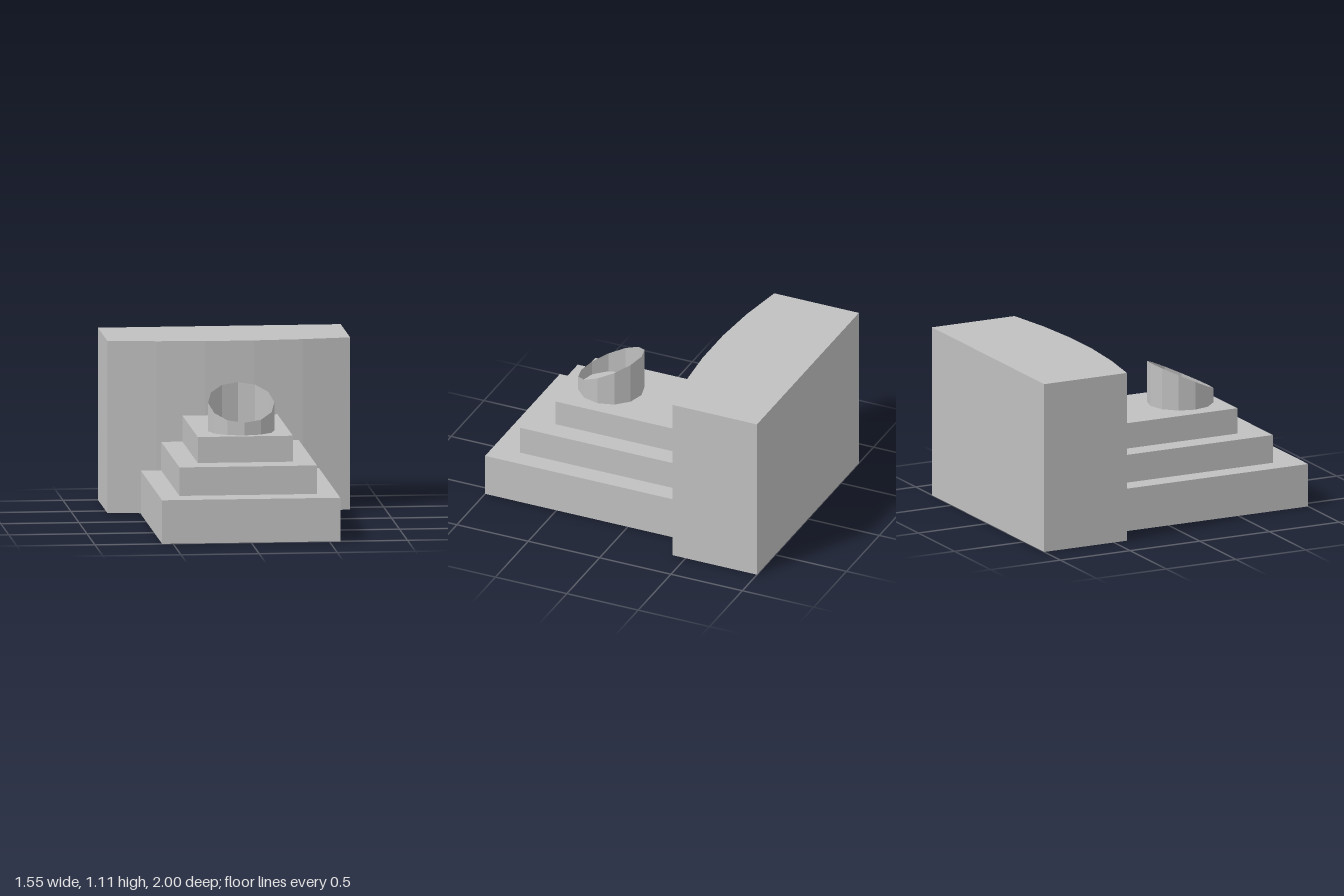
import * as THREE from 'three';

const stone = new THREE.MeshStandardMaterial({ color: 0xc0c0c0, side: THREE.DoubleSide });
stone.name = 'pale grey';

function part(name, geometry) {
  const mesh = new THREE.Mesh(geometry, stone);
  mesh.name = name;
  return mesh;
}

// Flat-sided wall around a closed outline of [x, z] corners (counter-clockwise from above)
function wallGeometry(outline, bottom, topAt) {
  const positions = [];
  outline.forEach(([ax, az], i) => {
    const [bx, bz] = outline[(i + 1) % outline.length];
    const a = [ax, bottom, az], b = [bx, bottom, bz];
    const c = [bx, topAt(bz), bz], d = [ax, topAt(az), az];
    positions.push(...a, ...b, ...c, ...a, ...c, ...d);
  });
  const geometry = new THREE.BufferGeometry();
  geometry.setAttribute('position', new THREE.Float32BufferAttribute(positions, 3));
  geometry.computeVertexNormals();
  return geometry;
}

// Block with walls and a roof, open underneath
function openBlock(name, outline, bottom, top) {
  const group = new THREE.Group();
  group.name = name;
  const shape = new THREE.Shape(outline.map(([x, z]) => new THREE.Vector2(x, -z)));
  const roof = new THREE.ShapeGeometry(shape).rotateX(-Math.PI / 2).translate(0, top, 0);
  group.add(part(name + 'Walls', wallGeometry(outline, bottom, () => top)), part(name + 'Roof', roof));
  return group;
}

export function createModel() {
  const model = new THREE.Group();
  model.name = 'steppedBuilding';
  const joinZ = -0.333;

  // Rear hall with a gently bowed front of five facets
  const hall = [[0.777, -1], [-0.777, -1]];
  for (let i = 0; i <= 5; i++) {
    const x = -0.777 + (1.554 * i) / 5;
    hall.push([x, -0.33 - 0.1276 * x * x]);
  }
  model.add(openBlock('rearHall', hall, 0, 1.107));

  // Three stepped tiers: half width, front z, bottom, top
  const tiers = [
    ['lowerTier', 0.57, 1, 0, 0.28],
    ['middleTier', 0.44, 0.815, 0.28, 0.463],
    ['upperTier', 0.304, 0.63, 0.463, 0.63],
  ];
  for (const [name, w, front, bottom, top] of tiers) {
    model.add(openBlock(name, [[-w, front], [w, front], [w, joinZ], [-w, joinZ]], bottom, top));
  }

  // Open twelve-sided drum with a sloping rim
  const ring = [], radius = 0.212, centreZ = 0.377;
  for (let i = 0; i < 12; i++) {
    const angle = (i * Math.PI) / 6;
    ring.push([radius * Math.cos(angle), centreZ - radius * Math.sin(angle)]);
  }
  model.add(part('slopingDrum', wallGeometry(ring, 0.63, (z) => 0.812 - 0.475 * (z - centreZ))));

  // Small panel just inside the front wall
  const panel = part('entrancePanel', new THREE.PlaneGeometry(0.25, 0.13));
  panel.position.set(0, 0.072, 0.975);
  model.add(panel);

  return model;
}
